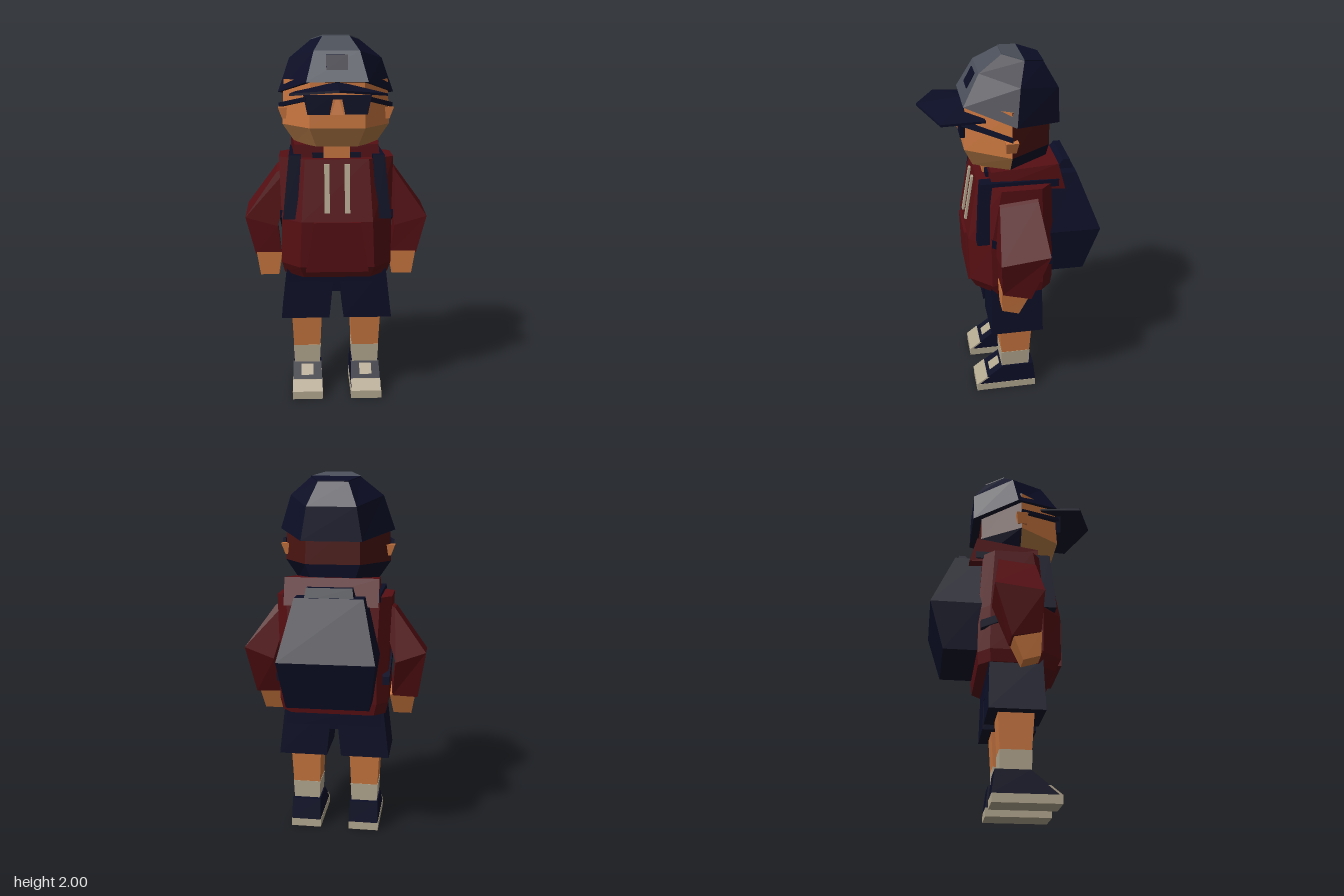
import * as THREE from 'three';

const material = (name, color) => {
  const m = new THREE.MeshStandardMaterial({ color });
  m.name = name;
  return m;
};

export function createModel() {
  const navy = material('navy', 0x0c0e26);
  const red = material('dark red', 0x560f13);
  const skin = material('skin', 0xc9763f);
  const stubble = material('stubble', 0xb07845);
  const cream = material('cream', 0xb3a78f);
  const hair = material('hair', 0x4a1412);
  const grey = material('grey', 0x4b505a);

  const model = new THREE.Group();
  model.name = 'boyWithBackpack';

  // Flat-faced loft through rings listed bottom to top, each counter-clockwise from above.
  // pick(edge, level) chooses a material when several are given; side -1 mirrors in x.
  function part(name, rings, mats, side = 1, pick = () => 0) {
    const list = Array.isArray(mats) ? mats : [mats];
    const R = side > 0 ? rings : rings.map(r => r.map(([x, y, z]) => [-x, y, z]).reverse());
    const buckets = list.map(() => []);
    const n = R[0].length, last = R[R.length - 1];
    for (let k = 0; k < R.length - 1; k++) {
      for (let i = 0; i < n; i++) {
        const j = (i + 1) % n, a = R[k], b = R[k + 1];
        buckets[pick(i, k)].push(...a[i], ...a[j], ...b[j], ...a[i], ...b[j], ...b[i]);
      }
    }
    for (let i = 1; i < n - 1; i++) {
      buckets[0].push(...last[0], ...last[i], ...last[i + 1]);
      buckets[0].push(...R[0][0], ...R[0][i + 1], ...R[0][i]);
    }
    const g = new THREE.BufferGeometry();
    g.setAttribute('position', new THREE.Float32BufferAttribute(buckets.flat(), 3));
    let start = 0;
    buckets.forEach((b, i) => { g.addGroup(start, b.length / 3, i); start += b.length / 3; });
    g.computeVertexNormals();
    const mesh = new THREE.Mesh(g, list.length > 1 ? list : list[0]);
    mesh.name = name;
    model.add(mesh);
  }
  const rect = (y, x0, x1, z0, z1) => [[x1, y, z1], [x1, y, z0], [x0, y, z0], [x0, y, z1]];
  const box = (name, x0, x1, y0, y1, z0, z1, mat, side) =>
    part(name, [rect(y0, x0, x1, z0, z1), rect(y1, x0, x1, z0, z1)], mat, side);
  // Hexagon from its front, side and back corners
  const hex = (f, s, b) => [f, s, b, ...[b, s, f].map(([x, y, z]) => [-x, y, z])];
  const lift = (ring, d) => ring.map(([x, y, z]) => [x, y + d, z]);

  for (const [s, word] of [[1, 'left'], [-1, 'right']]) {
    // Shoes: sole, wedge upper, toe cap and lace patch on the slope
    box(word + 'Sole', 0.08, 0.25, 0, 0.045, -0.13, 0.22, cream, s);
    part(word + 'Shoe', [rect(0.045, 0.082, 0.248, -0.13, 0.215), rect(0.165, 0.085, 0.245, -0.115, 0.065)], navy, s);
    const slope = y => 0.215 - (y - 0.045) * 1.25;
    const onShoe = (name, x0, x1, y0, y1) => part(name,
      [rect(y0, x0, x1, slope(y0) - 0.01, slope(y0) + 0.005), rect(y1, x0, x1, slope(y1) - 0.01, slope(y1) + 0.005)], cream, s);
    onShoe(word + 'ToeCap', 0.082, 0.248, 0.045, 0.092);
    onShoe(word + 'Laces', 0.132, 0.2, 0.11, 0.153);

    // Socks and legs
    part(word + 'Sock', [rect(0.16, 0.093, 0.238, -0.09, 0.07), rect(0.265, 0.088, 0.243, -0.093, 0.073)], cream, s);
    part(word + 'Leg', [rect(0.265, 0.09, 0.241, -0.091, 0.071), rect(0.5, 0.08, 0.252, -0.105, 0.088)], skin, s);
    part(word + 'ShortsLeg', [rect(0.455, 0.04, 0.307, -0.155, 0.137), rect(0.75, 0.01, 0.272, -0.15, 0.13)], navy, s);

    // Sleeve: shoulder, wide elbow, tilted cuff
    part(word + 'Sleeve', [
      [[0.445, 0.82, 0.095], [0.455, 0.785, -0.055], [0.315, 0.79, -0.055], [0.3, 0.825, 0.095]],
      [[0.497, 1.03, 0.11], [0.497, 1.06, -0.147], [0.335, 1.0, -0.147], [0.32, 0.98, 0.11]],
      [[0.325, 1.275, 0.09], [0.325, 1.295, -0.11], [0.23, 1.35, -0.11], [0.23, 1.33, 0.09]],
    ], red, s);
    part(word + 'Hand', [
      [[0.42, 0.7, 0.095], [0.42, 0.672, 0.005], [0.32, 0.672, 0.005], [0.32, 0.7, 0.095]],
      [[0.44, 0.83, 0.1], [0.44, 0.79, -0.045], [0.3, 0.79, -0.045], [0.3, 0.83, 0.1]],
    ], skin, s);

    // Backpack straps: down the chest, over the shoulder, back under the arm
    part(word + 'ChestStrap', [rect(1.04, 0.215, 0.29, 0.1, 0.205), rect(1.38, 0.19, 0.255, 0.1, 0.18)], navy, s);
    box(word + 'ShoulderStrap', 0.19, 0.255, 1.34, 1.38, -0.23, 0.15, navy, s);
    const under = [[0.308, 1.03, 0.13], [0.308, 0.89, -0.2], [0.27, 0.89, -0.2], [0.27, 1.03, 0.13]];
    part(word + 'LowerStrap', [under, lift(under, 0.045)], navy, s);

    // Ear
    part(word + 'Ear', [rect(1.56, 0.26, 0.29, 0, 0.05), rect(1.62, 0.26, 0.312, -0.01, 0.055)], skin, s);

    // Sunglasses: lens and temple arm
    part(word + 'Lens', [rect(1.602, 0.04, 0.155, 0.24, 0.264), rect(1.7, 0.02, 0.175, 0.24, 0.266)], navy, s);
    const temple = [[0.165, 1.672, 0.266], [0.308, 1.622, 0.02], [0.29, 1.622, 0.02], [0.145, 1.672, 0.25]];
    part(word + 'Temple', [temple, lift(temple, 0.022)], navy, s);

    // Hood drawstring
    part(word + 'Drawstring', [rect(1.08, 0.04, 0.068, 0.21, 0.246), rect(1.335, 0.04, 0.068, 0.17, 0.204)], cream, s);
  }
  box('shortsHips', -0.265, 0.265, 0.61, 0.76, -0.152, 0.132, navy);

  // Hoodie body with chamfered corners
  const oct = (y, w, front, zf, zb) => [
    [front, y, zf], [w, y, zf - 0.11], [w, y, zb + 0.06], [w - 0.06, y, zb],
    [0.06 - w, y, zb], [-w, y, zb + 0.06], [-w, y, zf - 0.11], [-front, y, zf]];
  part('hoodieBody', [
    oct(0.715, 0.285, 0.18, 0.205, -0.205), oct(0.78, 0.3, 0.2, 0.238, -0.21),
    oct(1.03, 0.298, 0.19, 0.242, -0.21), oct(1.36, 0.31, 0.17, 0.188, -0.19),
  ], red);
  part('frontPocket', [rect(0.755, -0.17, 0.17, 0.2, 0.245), rect(1.03, -0.125, 0.125, 0.2, 0.257)], red);
  part('hood', [
    [[0.235, 1.34, 0.12], [0.25, 1.32, -0.265], [-0.25, 1.32, -0.265], [-0.235, 1.34, 0.12]],
    [[0.225, 1.43, 0.12], [0.25, 1.465, -0.225], [-0.25, 1.465, -0.225], [-0.225, 1.43, 0.12]],
  ], red);
  box('shirtCollar', -0.13, 0.13, 1.34, 1.387, 0, 0.135, navy);
  box('neck', -0.07, 0.07, 1.34, 1.45, -0.05, 0.145, skin);

  // Backpack
  part('backpack', [
    rect(0.8, -0.22, 0.22, -0.39, -0.19), rect(1.06, -0.255, 0.255, -0.467, -0.19),
    rect(1.375, -0.18, 0.18, -0.34, -0.19),
  ], navy);
  part('backpackTop', [rect(1.36, -0.13, 0.13, -0.338, -0.23), rect(1.425, -0.12, 0.12, -0.315, -0.28)], navy);

  // Head: face in front, hair and dark nape behind
  const headRing = (y, f, zf, s, b, zb) => hex([f, y, zf], [s, y, 0.02], [b, y, zb]);
  const isBack = e => e >= 1 && e <= 3;
  part('head', [
    headRing(1.43, 0.11, 0.2, 0.222, 0.11, -0.18), headRing(1.53, 0.145, 0.245, 0.29, 0.145, -0.195),
    headRing(1.77, 0.14, 0.235, 0.28, 0.14, -0.195),
  ], [stubble, skin, navy, hair], 1, (e, k) => (isBack(e) ? 2 : 0) + k);
  part('nose', [rect(1.6, -0.032, 0.032, 0.23, 0.265), rect(1.68, -0.008, 0.008, 0.23, 0.25)], skin);
  box('glassesBridge', -0.03, 0.03, 1.68, 1.7, 0.24, 0.264, navy);

  // Cap: six panels with a grey front panel and a split crown
  const crown = hex([0.072, 1.995, 0.04], [0.133, 1.975, -0.065], [0.08, 1.952, -0.17]);
  part('cap', [
    hex([0.16, 1.765, 0.245], [0.312, 1.7, 0], [0.16, 1.655, -0.243]),
    hex([0.12, 1.92, 0.16], [0.25, 1.88, -0.025], [0.13, 1.83, -0.24]),
    crown,
  ], [navy, grey], 1, e => (e === 5 ? 1 : 0));
  const crownFront = [5, 0, 1, 4].map(i => crown[i]);
  const crownBack = [1, 2, 3, 4].map(i => crown[i]);
  part('crownFront', [crownFront, lift(crownFront, 0.005)], grey);
  part('crownBack', [crownBack, lift(crownBack, 0.005)], navy);
  part('capPatch', [rect(1.825, -0.056, 0.056, 0.205, 0.217), rect(1.9, -0.056, 0.056, 0.164, 0.176)], navy);
  const brim = [[0, 1.755, 0.2], [-0.22, 1.7, 0.14], [-0.245, 1.705, 0.365],
    [0, 1.728, 0.467], [0.245, 1.705, 0.365], [0.22, 1.7, 0.14]];
  part('capBrim', [brim, lift(brim, 0.012)], navy);

  return model;
}
